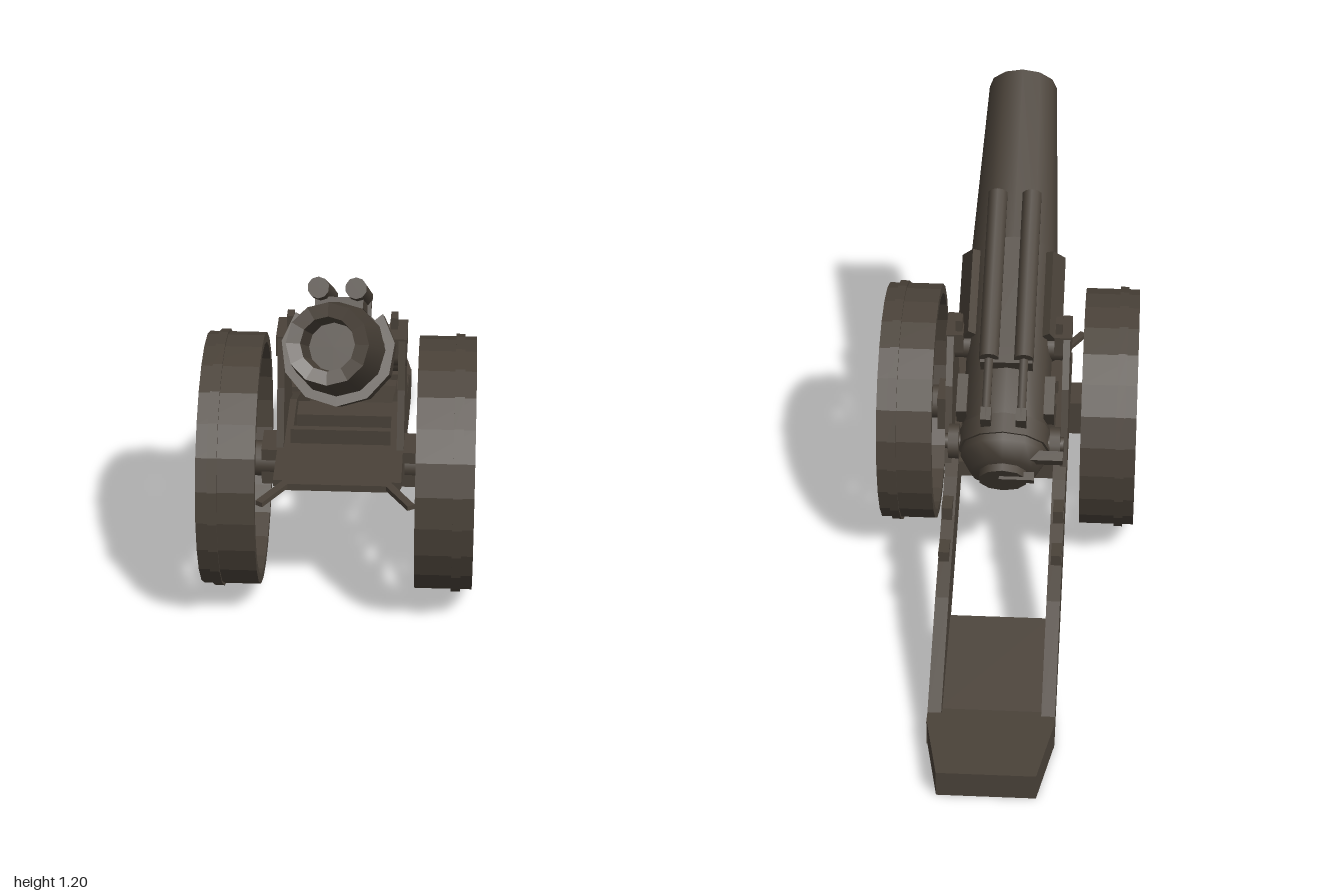
import * as THREE from 'three';

const iron = new THREE.MeshStandardMaterial({ color: 0x4a4239 });
iron.name = 'dark iron';

function add(parent, name, geo, x = 0, y = 0, z = 0) {
  const m = new THREE.Mesh(geo, iron);
  m.name = name;
  m.position.set(x, y, z);
  parent.add(m);
  return m;
}
const box = (w, h, d) => new THREE.BoxGeometry(w, h, d);
const rodX = (r, len, n = 10) => new THREE.CylinderGeometry(r, r, len, n).rotateZ(Math.PI / 2);
const rodZ = (r, len, n = 8) => new THREE.CylinderGeometry(r, r, len, n).rotateX(Math.PI / 2);
const pts = (list) => list.map(([a, b]) => new THREE.Vector2(a, b));

// Faceted lathe
function facetLathe(profile, n) {
  const geo = new THREE.LatheGeometry(pts(profile), n).toNonIndexed();
  geo.computeVertexNormals();
  return geo;
}

// Plate cut from a (z, y) outline, centred on x with the given thickness
function sidePlate(outline, thick) {
  return new THREE.ExtrudeGeometry(new THREE.Shape(pts(outline)), { depth: thick, bevelEnabled: false })
    .rotateY(-Math.PI / 2).translate(thick / 2, 0, 0);
}

// Spoked wheel centred on its hub, outer face towards +x
function makeWheel() {
  const g = new THREE.Group();
  const ring = (name, profile) => add(g, name, facetLathe(profile, 24).rotateZ(-Math.PI / 2));
  ring('rim', [[0.328, -0.08], [0.355, -0.08], [0.355, 0.08], [0.328, 0.08], [0.328, -0.08]]);
  ring('tyreBand', [[0.35, 0.022], [0.362, 0.022], [0.362, 0.048], [0.35, 0.048]]);
  ring('felloe', [[0.33, 0.045], [0.316, 0.045], [0.316, 0], [0.33, 0]]);
  add(g, 'hub', rodX(0.066, 0.08, 14), 0.01);
  add(g, 'hubCap', rodX(0.042, 0.03, 12), 0.055);
  add(g, 'hubPin', rodX(0.022, 0.02, 8), 0.07);
  add(g, 'innerHub', rodX(0.05, 0.09, 12), -0.07);
  for (let i = 0; i < 12; i++) {
    const spoke = new THREE.Group();
    spoke.name = 'spoke';
    spoke.rotation.x = (i * Math.PI) / 6;
    add(spoke, 'spokeShaft', new THREE.CylinderGeometry(0.013, 0.019, 0.29, 6), 0.02, 0.19);
    add(spoke, 'spokeFoot', new THREE.CylinderGeometry(0.024, 0.015, 0.04, 6), 0.02, 0.303);
    g.add(spoke);
  }
  return g;
}

// Gun parts in bore coordinates: z along the bore from the breech, y away from the carriage
function makeGun() {
  const g = new THREE.Group();
  g.name = 'gun';
  g.position.set(0, 0.47, -0.17);
  g.rotation.x = -0.519;

  const barrel = [[0, 0], [0.095, 0], [0.125, 0.05], [0.124, 0.3], [0.128, 0.7], [0.103, 1.29]];
  add(g, 'barrel', new THREE.LatheGeometry(pts(barrel), 12).rotateX(Math.PI / 2));
  add(g, 'bore', facetLathe([[0.103, 1.29], [0.068, 1.28], [0.064, 0.95], [0, 0.95]], 12).rotateX(Math.PI / 2));

  // Cradle collar wrapped around the underside and flanks of the barrel
  const arc = [];
  const rise = 0.7, n = 8;
  for (let i = 0; i <= n; i++) {
    const a = rise - ((Math.PI + 2 * rise) * i) / n;
    arc.push([Math.cos(a) * 0.154, Math.sin(a) * 0.154]);
  }
  const inner = arc.map(([x, y]) => [x * 0.82, y * 0.82]).reverse();
  const cradle = new THREE.ExtrudeGeometry(new THREE.Shape(pts([...arc, ...inner])), { depth: 1, bevelEnabled: false });
  const p = cradle.attributes.position;
  for (let i = 0; i < p.count; i++) {
    p.setZ(i, p.getZ(i) > 0.5 ? 0.697 - p.getY(i) * 0.27 : 0.4);
  }
  cradle.computeVertexNormals();
  add(g, 'cradle', cradle);

  // Breech block and fittings
  add(g, 'breechRing', rodZ(0.132, 0.06, 12), 0, 0, 0.1);
  add(g, 'breechBlock', rodZ(0.07, 0.03, 10), 0, 0, -0.008);
  add(g, 'breechHandle', box(0.1, 0.022, 0.025), -0.04, 0.02, -0.02);
  add(g, 'breechLever', box(0.1, 0.03, 0.03), -0.12, 0.05, 0.03);

  // Recoil cylinders above the barrel
  for (const s of [-1, 1]) {
    add(g, 'recoilCylinder', rodZ(0.029, 0.54, 10), s * 0.05, 0.16, 0.555);
    add(g, 'recoilRod', rodZ(0.014, 0.2, 6), s * 0.05, 0.152, 0.2);
    add(g, 'rodBracket', box(0.03, 0.06, 0.04), s * 0.05, 0.135, 0.11);
    add(g, 'sideLug', box(0.03, 0.07, 0.12), s * 0.125, 0.05, 0.21);
  }
  add(g, 'recoilSaddle', box(0.13, 0.03, 0.38), 0, 0.127, 0.5);
  add(g, 'rearSaddle', box(0.15, 0.05, 0.05), 0, 0.13, 0.3);
  return g;
}

function makeCarriage() {
  const g = new THREE.Group();
  g.name = 'carriage';

  const cheek = [[0.5, 0.44], [0.5, 0.42], [0.3, 0.35], [0.05, 0.27], [-0.4, 0.105], [-0.74, 0],
    [-0.8, 0], [-0.8, 0.08], [-0.76, 0.08], [-0.45, 0.235], [-0.2, 0.33], [-0.08, 0.385], [0.05, 0.44]];
  const bracket = [[0.33, 0.43], [0.27, 0.6], [0.24, 0.74], [0.12, 0.74], [0.04, 0.62], [-0.04, 0.4]];
  for (const s of [-1, 1]) {
    add(g, 'trailCheek', sidePlate(cheek, 0.038), s * 0.157);
    add(g, 'trunnionBracket', sidePlate(bracket, 0.02), s * 0.168);
    add(g, 'trunnionCap', box(0.05, 0.06, 0.12), s * 0.157, 0.715, 0.18);
    add(g, 'trunnion', rodX(0.045, 0.07, 10), s * 0.145, 0.68, 0.18);
    add(g, 'capBolt', box(0.02, 0.05, 0.04), s * 0.145, 0.755, 0.16);
    add(g, 'frontLug', box(0.03, 0.045, 0.06), s * 0.16, 0.345, -0.18);
    add(g, 'rearLug', box(0.03, 0.05, 0.06), s * 0.16, 0.285, -0.31);
    add(g, 'axleArm', box(0.08, 0.11, 0.11), s * 0.18, 0.385, 0.285);
    // Flared step ahead of the axle
    const fin = add(g, 'flaredStep', box(0.022, 0.014, 0.13), s * 0.172, 0.433, 0.56);
    fin.rotation.y = s * 0.55;
    add(g, 'elevatingDisc', rodX(0.05, 0.03, 12), s * 0.145, 0.52, -0.09);
    add(g, 'elevatingShaft', rodX(0.022, 0.05, 8), s * 0.145, 0.52, -0.09);
  }

  // Cross members
  add(g, 'axleBeam', box(0.34, 0.12, 0.12), 0, 0.38, 0.285);
  add(g, 'frontPlate', box(0.3, 0.02, 0.22), 0, 0.43, 0.41);
  add(g, 'frontLip', box(0.28, 0.05, 0.02), 0, 0.46, 0.29);
  add(g, 'elevatingBase', box(0.28, 0.05, 0.08), 0, 0.37, 0.02);

  // Trail floor and spade
  const floor = [[-0.4, 0.13], [-0.4, 0.105], [-0.74, 0], [-0.78, 0], [-0.78, 0.06], [-0.72, 0.06]];
  add(g, 'trailFloor', sidePlate(floor, 0.29));
  const spade = new THREE.Shape(pts([[-0.176, 0.76], [0.176, 0.76], [0.176, 0.79], [0.135, 1], [-0.135, 1], [-0.176, 0.79]]));
  add(g, 'trailSpade', new THREE.ExtrudeGeometry(spade, { depth: 0.08, bevelEnabled: false }).rotateX(-Math.PI / 2));
  return g;
}

export function createModel() {
  const model = new THREE.Group();
  model.name = 'fieldGun';
  model.add(makeGun(), makeCarriage());
  for (const s of [-1, 1]) {
    const wheel = makeWheel();
    wheel.name = s > 0 ? 'leftWheel' : 'rightWheel';
    wheel.position.set(s * 0.296, 0.387, 0.295);
    if (s < 0) wheel.rotation.y = Math.PI;
    model.add(wheel);
  }
  return model;
}
